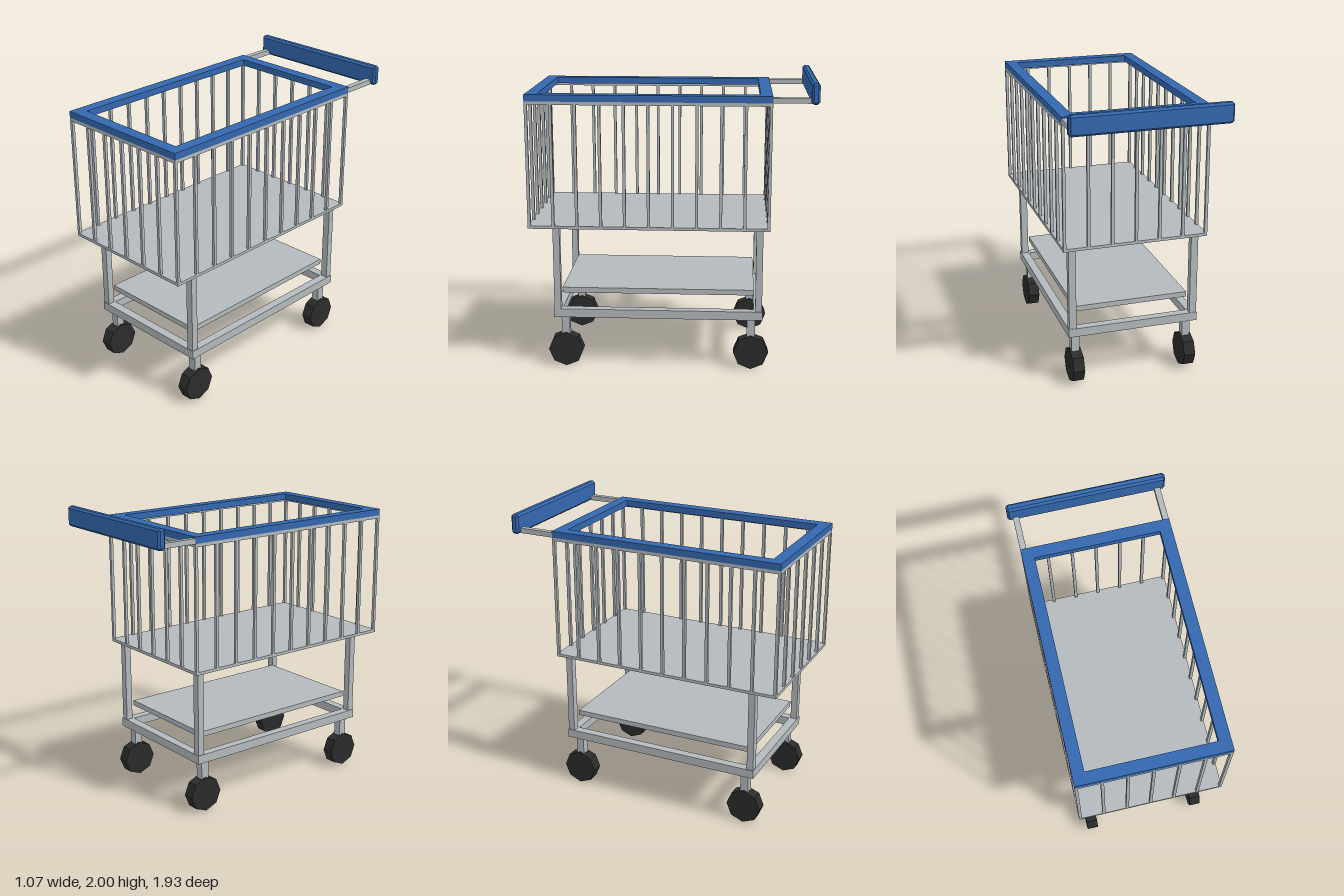
import * as THREE from 'three';
import { ConvexGeometry } from 'three/addons/geometries/ConvexGeometry.js';

export function createModel() {
  const cart = new THREE.Group();
  cart.name = 'shoppingCart';

  const material = (name, color) => {
    const m = new THREE.MeshStandardMaterial({ color });
    m.name = name;
    return m;
  };
  const steel = material('greySteel', 0xb3b9bd);
  const blue = material('bluePlastic', 0x3468b0);
  const rubber = material('blackRubber', 0x2b2b2b);

  const add = (name, geometry, mat, x = 0, y = 0, z = 0) => {
    const mesh = new THREE.Mesh(geometry, mat);
    mesh.name = name;
    mesh.position.set(x, y, z);
    cart.add(mesh);
    return mesh;
  };
  // Box given by its limits on each axis
  const box = (name, mat, x0, x1, y0, y1, z0, z1) =>
    add(name, new THREE.BoxGeometry(x1 - x0, y1 - y0, z1 - z0), mat,
      (x0 + x1) / 2, (y0 + y1) / 2, (z0 + z1) / 2);

  // Flat rectangular ring with bars of the given width
  const frame = (name, mat, x, z0, z1, y0, y1, wx, wz = wx) => {
    const rect = (Type, hx, a, b) => {
      const s = new Type();
      s.moveTo(-hx, -b);
      s.lineTo(hx, -b);
      s.lineTo(hx, -a);
      s.lineTo(-hx, -a);
      s.closePath();
      return s;
    };
    const shape = rect(THREE.Shape, x, z0, z1);
    shape.holes.push(rect(THREE.Path, x - wx, z0 + wz, z1 - wz));
    const g = new THREE.ExtrudeGeometry(shape, { depth: y1 - y0, bevelEnabled: false });
    g.rotateX(-Math.PI / 2);
    return add(name, g, mat, 0, y0, 0);
  };

  // Basket: floor, top rail and blue rim
  const X = 0.5, Z0 = -0.665, Z1 = 0.965;
  box('basketFloor', steel, -X, X, 1.005, 1.025, Z0, Z1);
  frame('basketRail', steel, X, Z0, Z1, 1.845, 1.867, 0.02);
  frame('basketRim', blue, X, Z0, Z1, 1.867, 1.912, 0.08);

  // Upright basket bars
  const bar = (x, z) => box('basketBar', steel, x - 0.01, x + 0.01, 1.025, 1.845, z - 0.01, z + 0.01);
  const bx = X - 0.01, bz0 = Z0 + 0.01, bz1 = Z1 - 0.01;
  for (let i = 0; i <= 10; i++) {
    const z = bz0 + (bz1 - bz0) * i / 10;
    for (const s of [-1, 1]) bar(s * bx, z);
  }
  for (let i = 1; i < 6; i++) {
    const x = -bx + 2 * bx * i / 6;
    for (const z of [bz0, bz1]) bar(x, z);
  }

  // Undercarriage frame and lower shelf
  frame('lowerFrame', steel, 0.46, -0.625, 0.81, 0.365, 0.425, 0.06);
  box('lowerShelf', steel, -0.4, 0.4, 0.525, 0.562, -0.565, 0.755);

  // Legs and casters at the four corners
  const wheel = new THREE.CylinderGeometry(0.121, 0.121, 0.08, 8).toNonIndexed();
  wheel.rotateZ(Math.PI / 2);
  wheel.computeVertexNormals();
  for (const s of [-1, 1]) {
    for (const [legZ, wheelZ] of [[0.783, 0.735], [-0.598, -0.548]]) {
      const lx = s * 0.43, wx = s * 0.4;
      box('leg', steel, lx - 0.025, lx + 0.025, 0.425, 1.005, legZ - 0.023, legZ + 0.023);
      box('casterStem', steel, wx - 0.028, wx + 0.028, 0.22, 0.365, wheelZ - 0.028, wheelZ + 0.028);
      add('wheel', wheel, rubber, wx, 0.122, wheelZ);
    }
    // Handle arm
    const ax = s * 0.48;
    box('handleArm', steel, ax - 0.02, ax + 0.02, 1.867, 1.902, -0.92, -0.65);
  }

  // Push handle: box with chamfered edges
  const [hx, hy, hz, c] = [0.535, 0.068, 0.0275, 0.014];
  const points = [];
  for (const sx of [-1, 1]) for (const sy of [-1, 1]) for (const sz of [-1, 1]) {
    points.push(
      new THREE.Vector3(sx * hx, sy * (hy - c), sz * (hz - c)),
      new THREE.Vector3(sx * (hx - c), sy * hy, sz * (hz - c)),
      new THREE.Vector3(sx * (hx - c), sy * (hy - c), sz * hz));
  }
  add('pushHandle', new ConvexGeometry(points), blue, 0, 1.932, -0.9375);

  return cart;
}
